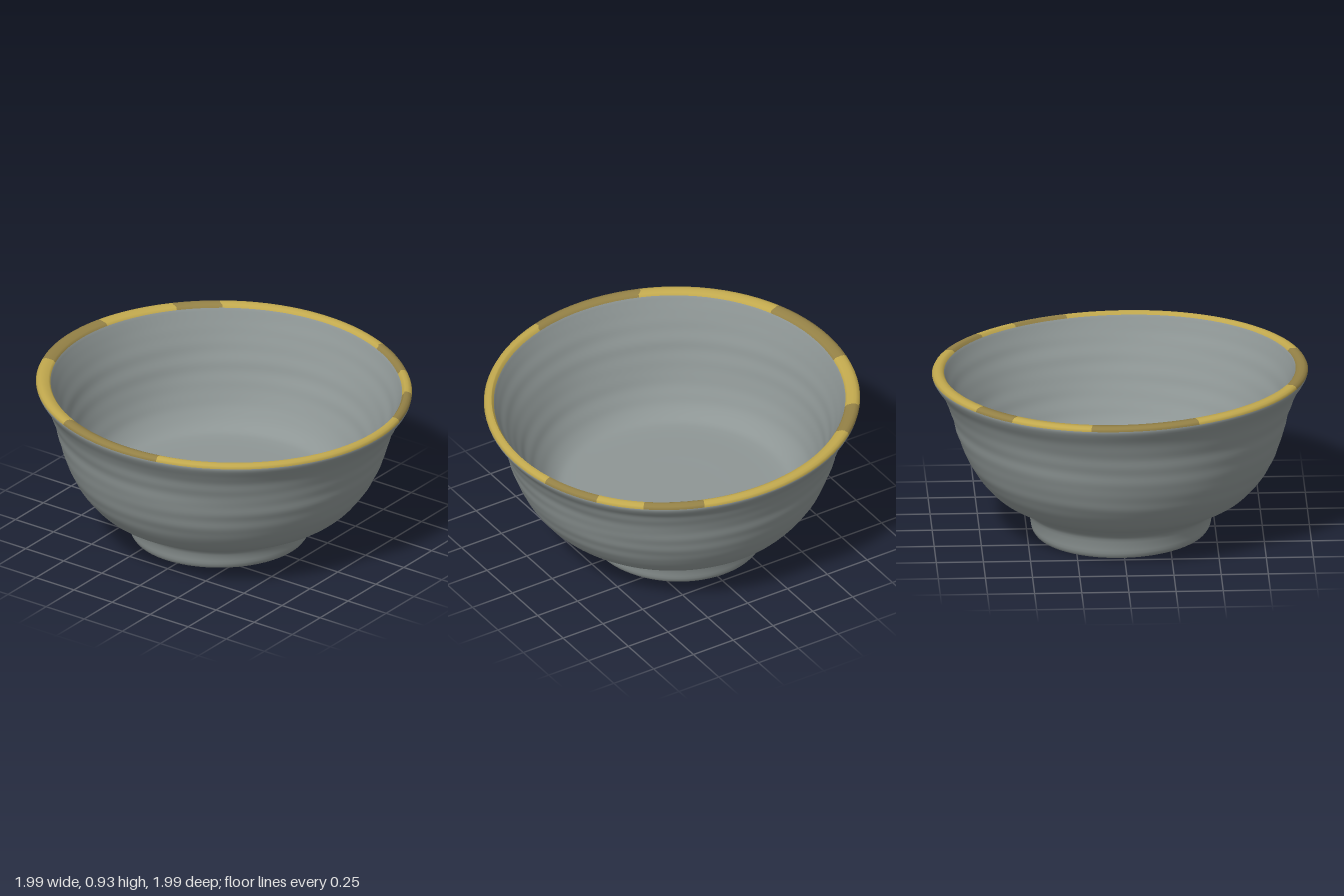
import * as THREE from 'three';
import { mergeVertices } from 'three/addons/utils/BufferGeometryUtils.js';

const glaze = new THREE.MeshStandardMaterial({ color: 0x8e9695 });
const gold = new THREE.MeshStandardMaterial({ color: 0xc2a94e });
const darkGold = new THREE.MeshStandardMaterial({ color: 0x948146 });
glaze.name = 'greyGlaze';
gold.name = 'goldRim';
darkGold.name = 'wornGoldRim';

const SEGMENTS = 96, STEPS = 180;

// Closed section [radius, height]: underside, foot, outer wall, lip, inner wall, floor
const section = [
  [0, 0.16], [0.2, 0.16], [0.36, 0.157], [0.39, 0.14], [0.425, 0.045], [0.44, 0.022],
  [0.458, 0.02], [0.473, 0.04], [0.483, 0.09], [0.502, 0.14], [0.56, 0.18], [0.67, 0.24],
  [0.74, 0.31], [0.8, 0.4], [0.855, 0.53], [0.9, 0.69], [0.946, 0.8], [0.985, 0.86],
  [0.997, 0.888], [0.99, 0.904], [0.973, 0.911], [0.946, 0.908], [0.934, 0.897], [0.922, 0.87],
  [0.882, 0.78], [0.838, 0.68], [0.785, 0.55], [0.735, 0.44], [0.68, 0.355], [0.625, 0.31],
  [0.585, 0.3], [0.3, 0.296], [0, 0.295],
];

// Angles in degrees (0 = +x, 90 = +z) where the gold is worn darker
const wornArcs = [[75, 113], [158, 190], [218, 232], [294, 310], [325, 345]];

const smooth = THREE.MathUtils.smoothstep;

// Hand-thrown irregularity: faint throwing ridges, a tilted lip and an uneven foot
function warp(p, inside) {
  const r = Math.hypot(p.x, p.z), a = Math.atan2(p.z, p.x);
  const wall = smooth(p.y, 0.3, 0.42) * (1 - smooth(p.y, 0.78, 0.88));
  const dents = Math.sin(3 * a + 17 * p.y) * Math.sin(5 * a - 31 * p.y);
  const ridge = wall * (0.001 * Math.sin(p.y * 70 + 2 * Math.sin(a)) + 0.002 * dents);
  const k = r > 0 ? 1 + ridge / r : 1;
  const high = smooth(p.y, 0.3, 0.9), low = 1 - smooth(p.y, 0.04, 0.2);
  const foot = inside ? -0.025 + 0.04 * high : -0.025 * (1 - smooth(p.y, 0.1, 0.3));
  const lift = high * (-0.028 * p.x - 0.008 * p.x * p.x + 0.014 * p.z + 0.003 * Math.sin(3 * a))
    + low * (0.018 * p.x + 0.02 * p.z);
  p.set(p.x * k + foot, p.y + lift, p.z * k - 0.004 * high);
}

export function createModel() {
  const group = new THREE.Group();
  group.name = 'bowl';

  // Sample the section densely and revolve it
  const curve = new THREE.CatmullRomCurve3(section.map(([r, y]) => new THREE.Vector3(r, y, 0)));
  const profile = curve.getSpacedPoints(STEPS).map((p) => new THREE.Vector2(Math.max(p.x, 0), p.y));
  profile[0].x = profile[STEPS].x = 0;
  const lipIndex = profile.reduce((best, p, i) => (p.y > profile[best].y ? i : best), 0);

  const lathe = new THREE.LatheGeometry(profile, SEGMENTS);
  const pos = lathe.attributes.position;
  const p = new THREE.Vector3();
  for (let i = 0; i < pos.count; i++) {
    p.fromBufferAttribute(pos, i);
    warp(p, i % (STEPS + 1) > lipIndex);
    pos.setXYZ(i, p.x, p.y, p.z);
  }

  // Sort the triangles into body, gold lip and worn gold arcs
  const parts = { body: [], rim: [], wornRim: [] };
  const source = lathe.index.array;
  for (let t = 0; t < source.length; t += 3) {
    const tri = [source[t], source[t + 1], source[t + 2]];
    const step = Math.min(...tri.map((v) => v % (STEPS + 1)));
    const height = (profile[step].y + profile[step + 1].y) / 2;
    let name = 'body';
    if (height > 0.89) {
      // Both triangles of a quad take the angle of the same lathe column
      const column = Math.min(...tri.map((v) => Math.floor(v / (STEPS + 1))));
      const deg = (450 - ((column + 0.5) * 360) / SEGMENTS) % 360;
      name = wornArcs.some(([from, to]) => deg >= from && deg <= to) ? 'wornRim' : 'rim';
    }
    parts[name].push(...tri);
  }
  lathe.setIndex([...parts.body, ...parts.rim, ...parts.wornRim]);
  lathe.deleteAttribute('uv');
  lathe.deleteAttribute('normal');

  // Weld the seam so that all parts share smooth normals
  const shared = mergeVertices(lathe, 1e-5);
  shared.computeVertexNormals();

  const materials = { body: glaze, rim: gold, wornRim: darkGold };
  let start = 0;
  for (const name of Object.keys(parts)) {
    const end = start + parts[name].length;
    const geometry = shared.clone();
    geometry.setIndex(Array.from(shared.index.array.slice(start, end)));
    const mesh = new THREE.Mesh(geometry, materials[name]);
    mesh.name = name;
    group.add(mesh);
    start = end;
  }
  return group;
}
